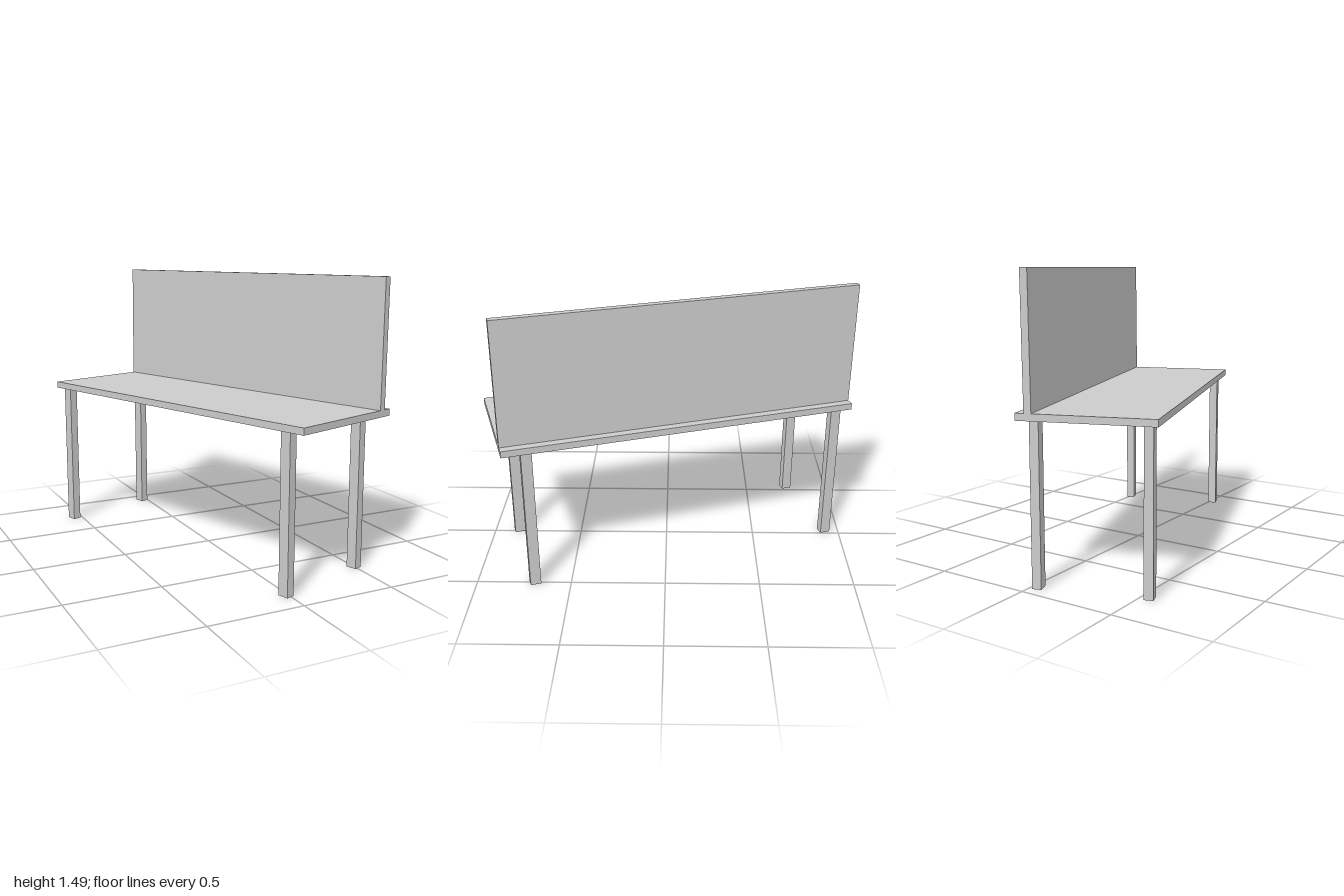
import * as THREE from 'three';

const material = new THREE.MeshStandardMaterial({ color: 0xcccccc, flatShading: true });

function box(name, w, h, d, x, y, z) {
  const mesh = new THREE.Mesh(new THREE.BoxGeometry(w, h, d), material);
  mesh.name = name;
  mesh.position.set(x, y, z);
  return mesh;
}

export function createModel() {
  const model = new THREE.Group();
  model.name = 'deskWithScreen';

  // The whole desk is turned about the vertical axis
  const desk = new THREE.Group();
  desk.name = 'desk';
  desk.rotation.y = 0.3185;
  model.add(desk);

  const length = 1.885, topY = 0.839, underY = 0.804;

  // Table top
  desk.add(box('tableTop', 0.667, topY - underY, length, 0, (topY + underY) / 2, 0));

  // Upright screen near one long edge, leaning very slightly outwards
  const screenBottom = 0.825, screenTop = 1.488;
  const screen = box('screen', 0.036, screenTop - screenBottom, length + 0.001,
    0.275, (screenTop + screenBottom) / 2, 0);
  screen.rotation.z = -0.009;
  desk.add(screen);

  // Four legs, set slightly off centre under the top
  for (const sx of [-1, 1]) {
    for (const sz of [-1, 1]) {
      desk.add(box('leg', 0.045, underY, 0.056,
        -0.013 + sx * 0.269, underY / 2, -0.034 + sz * 0.847));
    }
  }
  return model;
}
